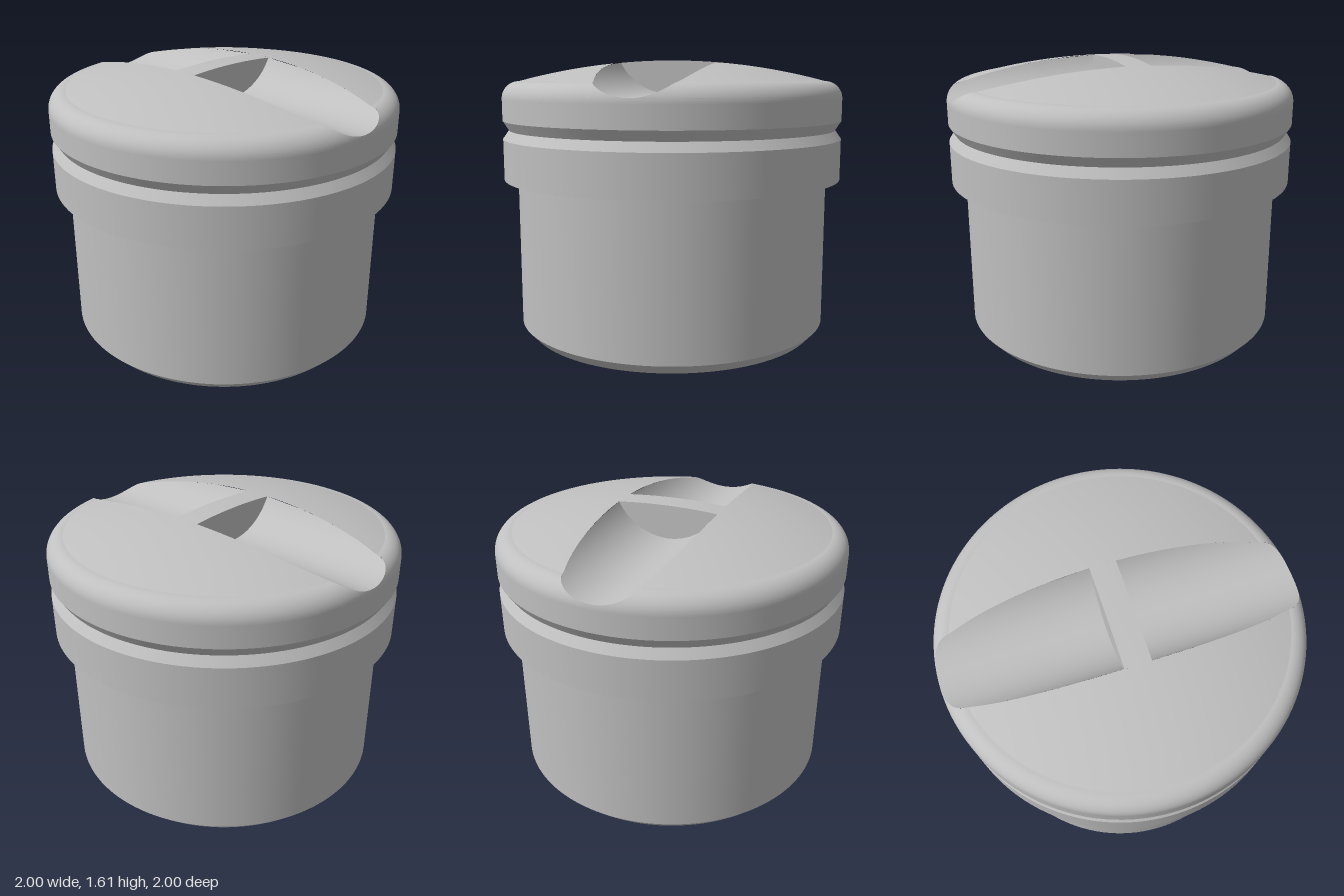
import * as THREE from 'three';

// Crown: shallow spherical dome with a rounded rim, cut by a round slot along x
const APEX = 1.605, RIM_R = 0.9, RIM_Y = 1.385, FILLET = 0.1;
const RISE = APEX - RIM_Y - FILLET;
const DOME_R = (RIM_R * RIM_R + RISE * RISE) / (2 * RISE);
const SLOT_R = 0.332, SLOT_Y = 1.743, SLOT_FLOOR = SLOT_Y - SLOT_R;
const BRIDGE = 0.073; // half width of the bar between the two slots

const domeY = (r) => APEX - DOME_R + Math.sqrt(DOME_R * DOME_R - r * r);
const slotY = (z) => SLOT_Y - Math.sqrt(SLOT_R * SLOT_R - z * z);
const slotHalfWidth = (y) => Math.sqrt(Math.max(0, SLOT_R * SLOT_R - (SLOT_Y - y) ** 2));
// Crown radius at a given height
const crownRadius = (y) => y > RIM_Y + FILLET
  ? Math.sqrt(Math.max(0, DOME_R * DOME_R - (y - APEX + DOME_R) ** 2))
  : RIM_R + Math.sqrt(Math.max(0, FILLET * FILLET - (y - RIM_Y) ** 2));

// Surface patch from a function of u, v in 0..1; it faces along du x dv
function patch(fn, nu, nv) {
  const pos = [], index = [];
  for (let j = 0; j <= nv; j++) {
    for (let i = 0; i <= nu; i++) pos.push(...fn(i / nu, j / nv));
  }
  for (let j = 0; j < nv; j++) {
    for (let i = 0; i < nu; i++) {
      const a = j * (nu + 1) + i, b = a + 1, c = a + nu + 1, d = c + 1;
      index.push(a, b, c, b, d, c);
    }
  }
  const g = new THREE.BufferGeometry();
  g.setAttribute('position', new THREE.Float32BufferAttribute(pos, 3));
  g.setIndex(index);
  g.computeVertexNormals();
  return g;
}

export function createModel() {
  const group = new THREE.Group();
  const grey = new THREE.MeshStandardMaterial({ color: 0xc0c0c0 });
  grey.name = 'grey';

  const add = (name, geometry, turn = 0) => {
    const mesh = new THREE.Mesh(geometry, grey);
    mesh.name = name;
    mesh.rotation.y = turn;
    group.add(mesh);
  };
  // Each band is its own lathe, which keeps the edges between bands sharp
  const bands = (name, points) => {
    for (let i = 0; i + 1 < points.length; i++) {
      const pair = [points[i], points[i + 1]].map(([x, y]) => new THREE.Vector2(x, y));
      add(name, new THREE.LatheGeometry(pair, 128));
    }
  };

  bands('hollowInside', [[0, 1.2], [0.81, 1.2], [0.81, 0]]);
  bands('lowerBody', [[0.81, 0], [0.865, 0], [0.92, 0.06], [0.92, 0.92]]);
  bands('collar', [[0.92, 0.92], [1, 0.92], [1, 1.155], [0.965, 1.205]]);
  bands('capSide', [[0.965, 1.205], [1, 1.26], [1, RIM_Y]]);

  // Rim below the slot floor
  const floorAngle = Math.asin((SLOT_FLOOR - RIM_Y) / FILLET);
  const rim = (a) => [RIM_R + FILLET * Math.cos(a), RIM_Y + FILLET * Math.sin(a)];
  const lowRim = [];
  for (let i = 0; i <= 4; i++) lowRim.push(new THREE.Vector2(...rim(floorAngle * i / 4)));
  add('lowerRim', new THREE.LatheGeometry(lowRim, 128));

  // Radius of the inner slot corners
  let r0 = 0.3;
  for (let i = 0; i < 30; i++) r0 = Math.hypot(BRIDGE, slotHalfWidth(domeY(r0)));
  const z0 = Math.sqrt(r0 * r0 - BRIDGE * BRIDGE);

  // Arc of the crown left standing between the slots
  const crownPoint = (r, y, u) => {
    const start = Math.asin(Math.min(1, slotHalfWidth(y) / r));
    const a = start + u * (Math.PI - 2 * start);
    return [r * Math.cos(a), y, r * Math.sin(a)];
  };
  const dome = patch((u, v) => {
    const r = r0 + v * (RIM_R - r0);
    return crownPoint(r, domeY(r), u);
  }, 64, 24);
  const upperRim = patch((u, v) => {
    const [r, y] = rim(Math.PI / 2 + (1 - (1 - v) ** 2) * (floorAngle - Math.PI / 2));
    return crownPoint(r, y, u);
  }, 64, 20);

  // Slot surface, running out to where it meets the crown
  const slot = patch((u, v) => {
    const z = (2 * u - 1) * z0, y = slotY(z);
    const end = Math.sqrt(Math.max(BRIDGE * BRIDGE, crownRadius(y) ** 2 - z * z));
    return [BRIDGE + v * (end - BRIDGE), y, z];
  }, 80, 8);
  const slotEnd = patch((u, v) => {
    const z = (2 * v - 1) * z0, low = slotY(z);
    return [BRIDGE, low + u * (domeY(Math.hypot(BRIDGE, z)) - low), z];
  }, 2, 80);

  for (const turn of [0, Math.PI]) {
    add('dome', dome, turn);
    add('upperRim', upperRim, turn);
    add('slot', slot, turn);
    add('slotEndWall', slotEnd, turn);
  }

  // Bar of dome surface between the slots
  add('bridge', patch((u, v) => {
    const x = (2 * v - 1) * BRIDGE;
    const z = (2 * u - 1) * Math.sqrt(r0 * r0 - x * x);
    return [x, domeY(Math.hypot(x, z)), z];
  }, 32, 10));

  return group;
}
